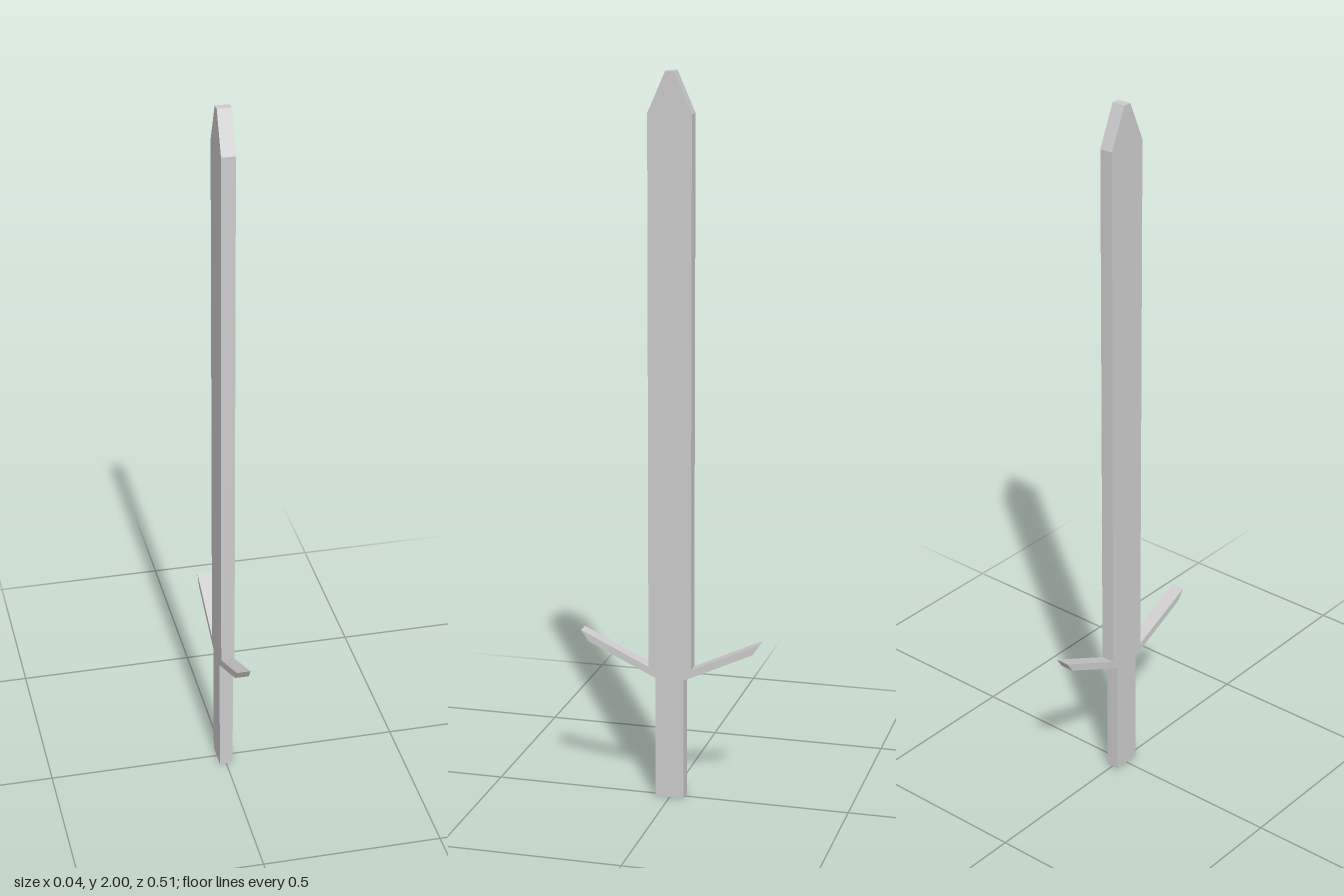
import * as THREE from 'three';

const THICKNESS = 0.038;

export function createModel() {
  const group = new THREE.Group();
  group.name = 'sword';

  // Half outline from pommel to tip: [distance from centre line, height]
  const half = [
    [0.04, 0], [0.04, 0.345],        // grip
    [0.232, 0.435], [0.253, 0.466],  // underside and end of the guard arm
    [0.06, 0.376],                   // top of the guard arm meets the blade
    [0.06, 1.89], [0.0115, 2],       // blade edge and blunt tip
  ];
  const mirrored = half.map(([w, y]) => [-w, y]).reverse();
  const outline = [...half, ...mirrored].map(([w, y]) => new THREE.Vector2(w, y));

  // Flat slab, its broad faces turned to the sides
  const geometry = new THREE.ExtrudeGeometry(new THREE.Shape(outline), {
    depth: THICKNESS, bevelEnabled: false,
  });
  geometry.translate(0, 0, -THICKNESS / 2);
  geometry.rotateY(-Math.PI / 2);

  const body = new THREE.Mesh(
    geometry,
    new THREE.MeshStandardMaterial({ color: 0xcccccc, flatShading: true }),
  );
  body.name = 'bladeGuardAndGrip';
  group.add(body);
  return group;
}
